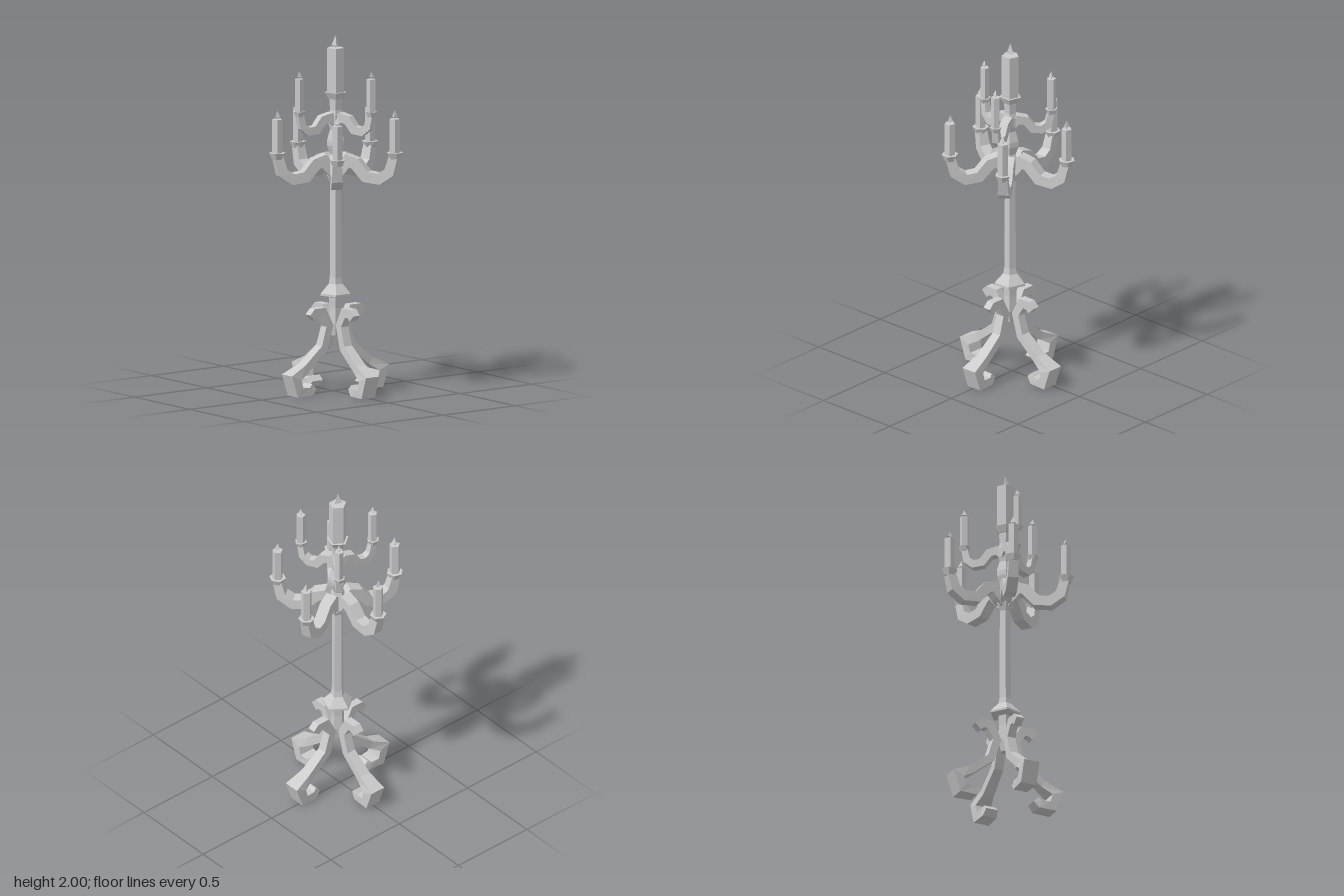
import * as THREE from 'three';

const mat = new THREE.MeshStandardMaterial({ color: 0xcccccc, flatShading: true });
const CENTRE_Z = 0.02;

function add(parent, name, geometry) {
  const mesh = new THREE.Mesh(geometry, mat);
  mesh.name = name;
  parent.add(mesh);
  return mesh;
}

// Mitred rectangular bar swept along [x, y, thickness, width] stations in the XY plane
function bar(stations) {
  const pts = stations.map(s => new THREE.Vector2(s[0], s[1]));
  const rings = stations.map(([x, y, t, w], i) => {
    const a = pts[Math.max(i - 1, 0)], b = pts[i], c = pts[Math.min(i + 1, pts.length - 1)];
    const d1 = (i > 0 ? b.clone().sub(a) : c.clone().sub(b)).normalize();
    const d2 = (i < pts.length - 1 ? c.clone().sub(b) : d1.clone()).normalize();
    const d = d1.clone().add(d2).normalize();
    const h = Math.min(t / 2 / Math.max(d.dot(d1), 0.1), t * 0.7);
    const ox = -d.y * h, oy = d.x * h;
    return [[x + ox, y + oy, w / 2], [x + ox, y + oy, -w / 2],
      [x - ox, y - oy, -w / 2], [x - ox, y - oy, w / 2]];
  });
  const pos = [];
  const quad = (a, b, c, d) => pos.push(...a, ...b, ...c, ...a, ...c, ...d);
  for (let i = 0; i < rings.length - 1; i++) {
    for (let k = 0; k < 4; k++) {
      const n = (k + 1) % 4;
      quad(rings[i][k], rings[i + 1][k], rings[i + 1][n], rings[i][n]);
    }
  }
  quad(...rings[0]);
  quad(...rings[rings.length - 1].slice().reverse());
  const g = new THREE.BufferGeometry();
  g.setAttribute('position', new THREE.Float32BufferAttribute(pos, 3));
  g.computeVertexNormals();
  return g;
}

// Cup, candle and flame standing at height y
function candle(parent, { x, y, cupR, cupH, r, h, flameR, flameH, cupSides }) {
  const g = new THREE.Group();
  g.name = 'candleHolder';
  g.position.set(x, y, 0);
  add(g, 'cup', new THREE.CylinderGeometry(cupR, cupR * 0.65, cupH, cupSides))
    .position.y = cupH / 2;
  add(g, 'candle', new THREE.CylinderGeometry(r, r, h, 5)).position.y = cupH + h / 2;
  const flame = add(g, 'flame', new THREE.ConeGeometry(flameR, flameH, 3));
  flame.position.y = cupH + h + 0.012 + flameH / 2;
  flame.rotation.y = 0.6;
  // Short wick joining candle and flame
  add(g, 'wick', new THREE.CylinderGeometry(0.003, 0.003, 0.016, 3)).position.y = cupH + h + 0.006;
  parent.add(g);
  return g;
}

export function createModel() {
  const root = new THREE.Group();
  root.name = 'candelabra';
  const body = new THREE.Group();
  body.name = 'body';
  body.position.z = CENTRE_Z;
  root.add(body);

  // Five-sided turned post
  const profile = [[0, 0.31], [0.025, 0.315], [0.04, 0.38], [0.036, 0.47], [0.04, 0.53],
    [0.088, 0.54], [0.088, 0.552], [0.04, 0.605], [0.034, 0.64], [0.031, 1.17], [0.05, 1.21],
    [0.05, 1.28], [0.032, 1.33], [0.05, 1.38], [0.05, 1.41], [0.033, 1.47], [0.04, 1.5],
    [0.04, 1.55], [0.033, 1.58], [0.036, 1.65], [0, 1.65]];
  add(body, 'post', new THREE.LatheGeometry(profile.map(p => new THREE.Vector2(...p)), 5))
    .rotation.y = Math.PI;

  // Large central candle
  candle(body, { x: 0, y: 1.642, cupR: 0.064, cupH: 0.038, r: 0.05, h: 0.247,
    flameR: 0.024, flameH: 0.06, cupSides: 5 }).rotation.y = Math.PI;

  // Four scrolled legs: upper curl, stem, splayed foot, inward toe
  const leg = bar([[0.175, 0.43, 0.05, 0.046], [0.15, 0.455, 0.05, 0.046],
    [0.1, 0.455, 0.05, 0.046], [0.058, 0.375, 0.045, 0.05], [0.095, 0.255, 0.045, 0.055],
    [0.22, 0.155, 0.045, 0.066], [0.305, 0.11, 0.055, 0.094], [0.278, 0.025, 0.05, 0.094],
    [0.2, 0.024, 0.046, 0.085], [0.175, 0.05, 0.04, 0.07]]);
  for (let i = 0; i < 4; i++) add(body, 'leg', leg).rotation.y = i * Math.PI / 2;

  // Tiers of S-curved arms, each carrying a candle
  const tiers = [
    { name: 'lowerArm', tips: [[0, -0.34], [0.325, -0.11], [0.2, 0.275], [-0.205, 0.285], [-0.33, -0.11]],
      path: [[0, 1.215, 0.065, 0.06], [0.04, 1.255, 0.065, 0.065], [0.075, 1.3, 0.062, 0.066],
        [0.12, 1.285, 0.062, 0.066], [0.18, 1.215, 0.06, 0.066], [0.255, 1.205, 0.058, 0.064],
        [0.315, 1.245, 0.056, 0.06], [0.338, 1.33, 0.05, 0.052]],
      holder: { x: 0.341, y: 1.32, cupR: 0.047, cupH: 0.036, r: 0.03, h: 0.188,
        flameR: 0.019, flameH: 0.038, cupSides: 6 } },
    { name: 'upperArm', tips: [[0.145, -0.18], [-0.225, -0.035], [0.085, 0.21]],
      path: [[0, 1.505, 0.05, 0.05], [0.04, 1.54, 0.05, 0.05], [0.085, 1.53, 0.048, 0.048],
        [0.125, 1.478, 0.046, 0.046], [0.175, 1.472, 0.044, 0.044], [0.212, 1.5, 0.04, 0.04],
        [0.226, 1.565, 0.036, 0.034]],
      holder: { x: 0.229, y: 1.558, cupR: 0.035, cupH: 0.03, r: 0.026, h: 0.182,
        flameR: 0.016, flameH: 0.032, cupSides: 6 } }
  ];
  for (const { name, tips, path, holder } of tiers) {
    const geometry = bar(path);
    for (const [x, z] of tips) {
      const arm = new THREE.Group();
      arm.name = name;
      arm.rotation.y = Math.atan2(-z, x);
      add(arm, name + 'Curve', geometry);
      candle(arm, holder).rotation.y = Math.PI / 2;
      body.add(arm);
    }
  }
  return root;
}
